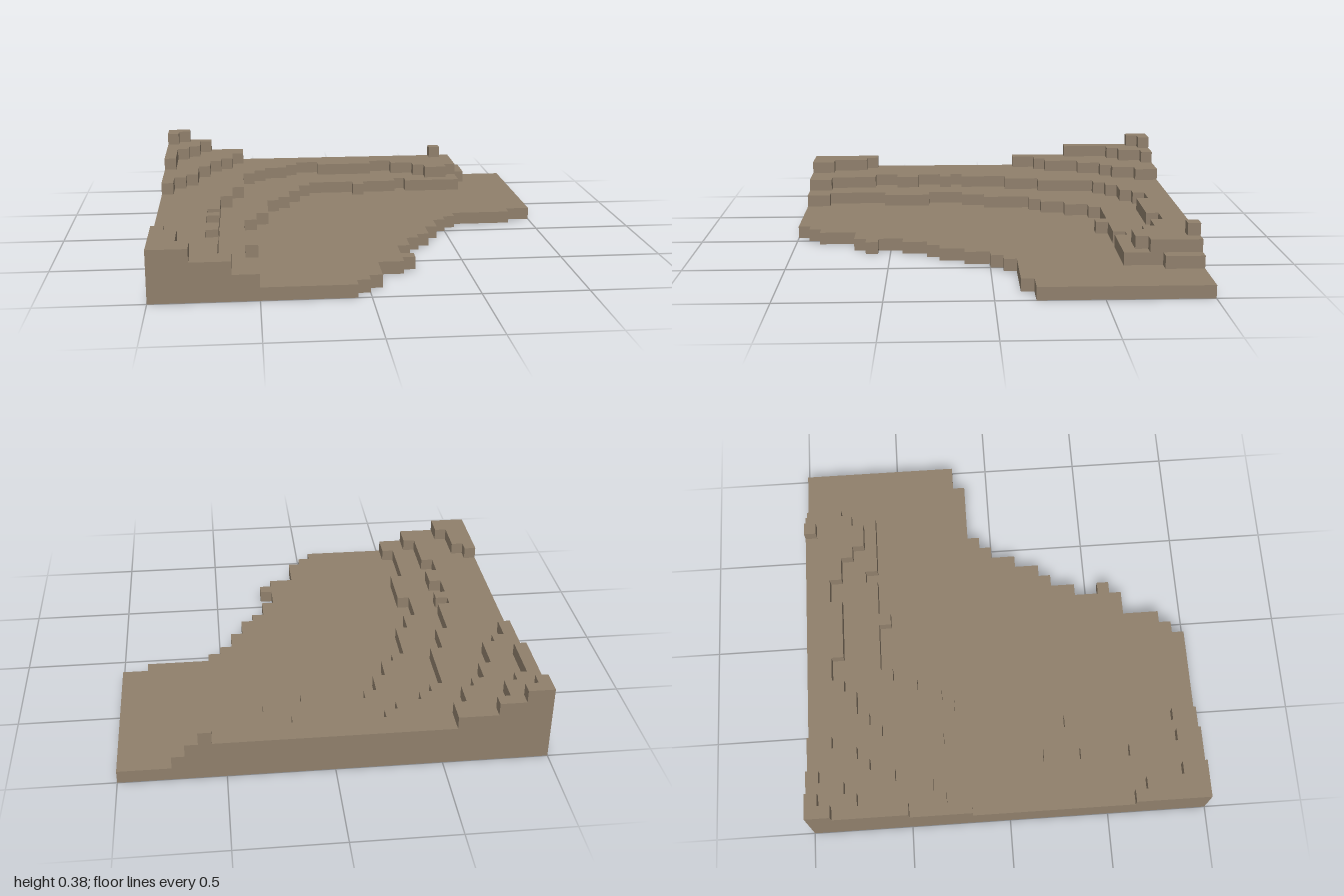
import * as THREE from 'three';

const CELL = 2 / 32; // the terrain sits on a 32 x 32 block grid

// Each outline alternates column, row, column, row... along the stepped edge.
const LAYERS = [
  { name: 'groundLayer', level: 0, steps: [32, 13, 30, 14, 25, 15, 24, 16, 23, 18, 22, 20, 21, 21, 20, 23,
    19, 25, 20, 26, 19, 27, 17, 30, 16, 31, 15, 32] },
  { name: 'lowerTerrace', level: 1, steps: [28, 3, 27, 6, 22, 5, 21, 6, 18, 7, 17, 6, 13, 7, 12, 9, 11, 11,
    10, 12, 9, 16, 8, 18, 7, 21, 8, 25, 7, 30, 8, 32] },
  { name: 'middleTerrace', level: 2, steps: [27, 4, 26, 5, 24, 4, 23, 3, 21, 2, 19, 3, 14, 2, 12, 3, 11, 4,
    9, 5, 8, 6, 7, 11, 6, 14, 5, 18, 4, 19, 5, 20, 4, 22, 5, 24, 4, 26, 5, 30, 6, 32] },
  { name: 'upperTerrace', level: 3, steps: [7, 2, 6, 4, 5, 5, 4, 7, 3, 10, 2, 11, 1, 13] },
  { name: 'frontKnoll', level: 3, startRow: 26, steps: [1, 27, 2, 30, 3, 32] },
  { name: 'loneBlock', level: 3, startCol: 25, steps: [26, 1] },
  { name: 'highTerrace', level: 4, steps: [4, 1, 3, 3, 2, 4, 1, 8] },
  { name: 'summit', level: 5, steps: [2, 1, 1, 2] },
];

// One block-high slab with a stepped outline
function slab({ name, level, steps, startRow = 0, startCol = 0 }, material) {
  const at = (col, row) => new THREE.Vector2(col * CELL - 1, row * CELL - 1);
  const points = [at(startCol, startRow)];
  let row = startRow;
  for (let i = 0; i < steps.length; i += 2) {
    points.push(at(steps[i], row));
    row = steps[i + 1];
    points.push(at(steps[i], row));
  }
  points.push(at(startCol, row));
  const geometry = new THREE.ExtrudeGeometry(new THREE.Shape(points), { depth: CELL, bevelEnabled: false });
  geometry.rotateX(Math.PI / 2);
  geometry.translate(0, (level + 1) * CELL, 0);
  const mesh = new THREE.Mesh(geometry, material);
  mesh.name = name;
  return mesh;
}

export function createModel() {
  const earth = new THREE.MeshStandardMaterial({ color: 0x90806c });
  earth.name = 'earth brown';
  const terrain = new THREE.Group();
  terrain.name = 'terracedTerrain';
  for (const layer of LAYERS) terrain.add(slab(layer, earth));
  return terrain;
}
